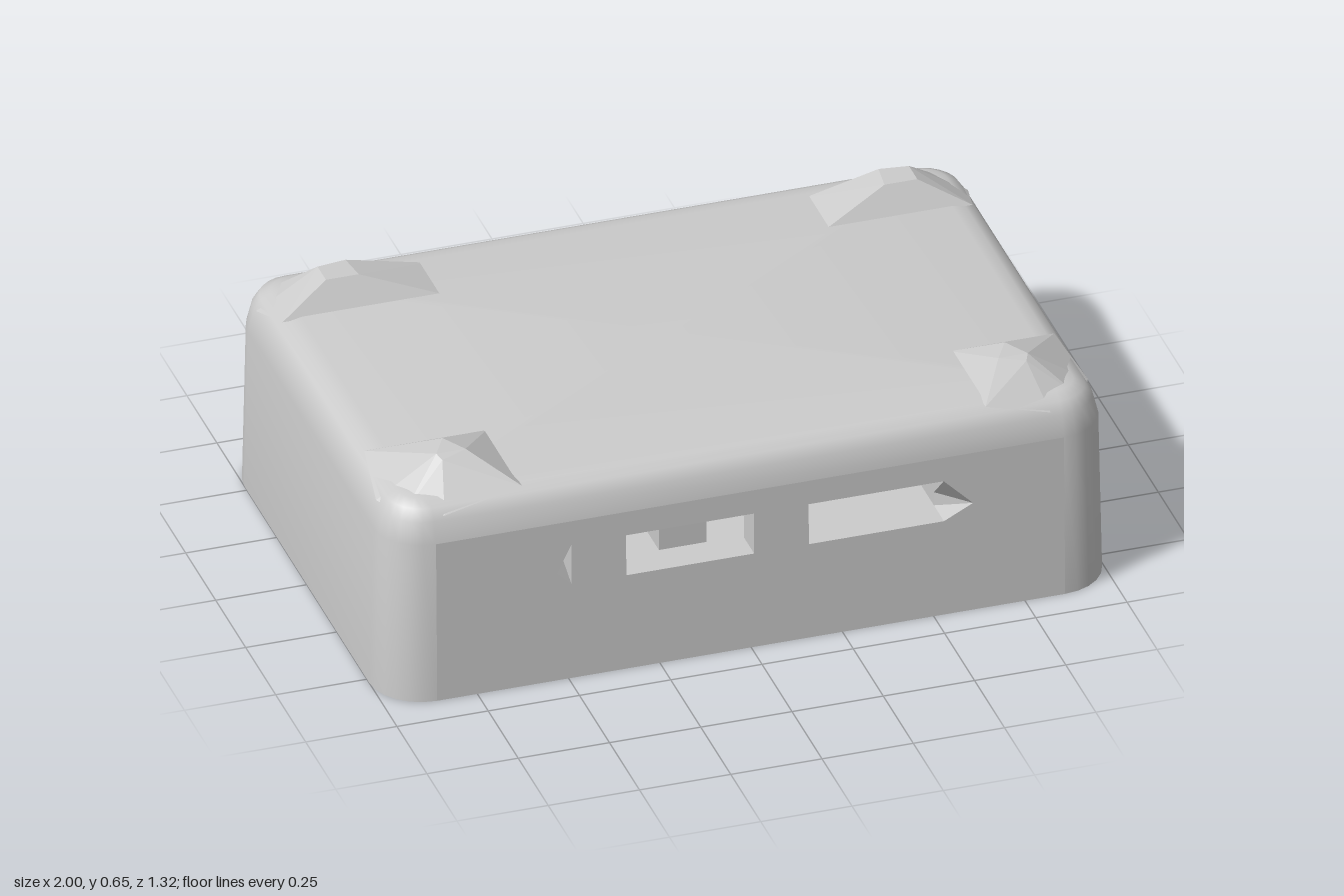
import * as THREE from 'three';
import { toCreasedNormals } from 'three/addons/utils/BufferGeometryUtils.js';
import { ConvexGeometry } from 'three/addons/geometries/ConvexGeometry.js';

const HX = 1, HZ = 0.66, R = 0.14, CORNER = 6;
const WALL_TOP = 0.47, TAPER = 0.01, WALL = 0.09;
const LOW = 0.28, MID = 0.32, HIGH = 0.4;

const smooth = new THREE.MeshStandardMaterial({ color: 0xcccccc });
const flat = new THREE.MeshStandardMaterial({ color: 0xcccccc, flatShading: true });

function add(parent, name, geometry, material) {
  const mesh = new THREE.Mesh(geometry, material);
  mesh.name = name;
  parent.add(mesh);
}

// Rounded rectangle at height y, shrunk by inset; corner centres stay put
function ring(y, inset) {
  const points = [];
  const r = R - inset;
  for (let c = 0; c < 4; c++) {
    const cx = (c === 0 || c === 3 ? 1 : -1) * (HX - R);
    const cz = (c < 2 ? 1 : -1) * (HZ - R);
    for (let i = 0; i <= CORNER; i++) {
      const a = (c + i / CORNER) * Math.PI / 2;
      points.push([cx + r * Math.cos(a), y, cz + r * Math.sin(a)]);
    }
  }
  return points;
}

// Outer skin, left open where the slotted front and back walls fit in
function shellGeometry() {
  const rings = [[0, 0], [WALL_TOP, TAPER], [0.53, 0.025], [0.56, 0.045], [0.575, 0.075], [0.58, 0.11]]
    .map(([y, inset]) => ring(y, inset));
  const n = rings[0].length;
  const position = [];
  for (let k = 0; k < rings.length - 1; k++) {
    for (let i = 0; i < n; i++) {
      const j = (i + 1) % n;
      const wallRun = i === CORNER || i === 3 * CORNER + 2;
      if (k === 0 && wallRun) continue;
      const [a, b, c, d] = [rings[k][i], rings[k][j], rings[k + 1][j], rings[k + 1][i]];
      position.push(...a, ...c, ...b, ...a, ...d, ...c);
    }
  }
  // Lid and floor
  const lid = rings[rings.length - 1];
  for (let i = 0; i < n; i++) {
    const j = (i + 1) % n;
    position.push(0, 0.58, 0, ...lid[j], ...lid[i]);
    position.push(0, 0, 0, ...rings[0][i], ...rings[0][j]);
  }
  const geometry = new THREE.BufferGeometry();
  geometry.setAttribute('position', new THREE.Float32BufferAttribute(position, 3));
  return toCreasedNormals(geometry, 0.6);
}

// Slab from z0 to z1 with holes cut through it
function slab(holes, z0, z1) {
  const w = HX - R;
  const outline = [[-w, 0], [w, 0], [w, WALL_TOP], [-w, WALL_TOP]];
  const toPoints = (list) => list.map(([x, y]) => new THREE.Vector2(x, y));
  const shape = new THREE.Shape(toPoints(outline));
  holes.forEach((hole) => shape.holes.push(new THREE.Path(toPoints(hole))));
  const geometry = new THREE.ExtrudeGeometry(shape, { depth: z1 - z0, bevelEnabled: false });
  return geometry.translate(0, 0, z0);
}

// Lean the outer face inwards and close the pointed slot ends towards the inside
function shapeWall(geometry, leftLimit) {
  const p = geometry.attributes.position;
  for (let i = 0; i < p.count; i++) {
    const x = p.getX(i), z = p.getZ(i);
    if (Math.abs(z) > HZ - 0.001) {
      p.setZ(i, z - Math.sign(z) * TAPER * p.getY(i) / WALL_TOP);
    } else if (Math.abs(x) < 0.7) {
      p.setX(i, THREE.MathUtils.clamp(x, leftLimit, 0.53));
    }
  }
  geometry.computeVertexNormals();
  return geometry;
}

const box = (x0, x1) => [[x0, LOW], [x1, LOW], [x1, HIGH], [x0, HIGH]];

function bump(base, top) {
  return new ConvexGeometry([...base, ...top].map((p) => new THREE.Vector3(...p)));
}

export function createModel() {
  const model = new THREE.Group();
  model.name = 'case';
  add(model, 'shell', shellGeometry(), smooth);

  // Front wall: two openings and a small pointed recess
  const frontHoles = [
    box(-0.34, 0.01),
    [[0.16, LOW], [0.53, LOW], [0.61, MID], [0.53, HIGH], [0.16, HIGH]],
    [[-0.49, LOW], [-0.49, HIGH], [-0.53, MID]],
  ];
  add(model, 'frontWall', shapeWall(slab(frontHoles, HZ - WALL, HZ), -0.49), flat);

  // Back wall: one long slot with pointed ends
  const backHole = [[-0.53, LOW], [0.53, LOW], [0.61, MID], [0.53, HIGH], [-0.53, HIGH], [-0.61, MID]];
  add(model, 'backWall', shapeWall(slab([backHole], -HZ, WALL - HZ), -0.53), flat);

  // Tunnel joining the openings, with a post behind the front wall
  add(model, 'tunnel', slab([box(-0.53, 0.53)], WALL - HZ, HZ - WALL), flat);
  const post = new THREE.BoxGeometry(0.13, HIGH - LOW, 0.12);
  add(model, 'post', post.translate(-0.155, (LOW + HIGH) / 2, 0.5), flat);

  // Raised corners on the lid
  for (const s of [-1, 1]) {
    const side = s < 0 ? 'right' : 'left';
    const frontInner = s < 0 ? 0.61 : 0.66;
    const backInner = s < 0 ? 0.5 : 0.54;
    add(model, side + 'FrontBump', bump(
      [[s * frontInner, 0.575, 0.31], [s * 0.945, 0.575, 0.31], [s * frontInner, 0.575, 0.605],
        [s * 0.975, 0.54, 0.5], [s * 0.93, 0.54, 0.59], [s * 0.83, 0.54, 0.63]],
      [[s * 0.73, 0.65, 0.5], [s * 0.81, 0.65, 0.5], [s * 0.77, 0.65, 0.43], [s * 0.8, 0.64, 0.52]],
    ), flat);
    add(model, side + 'BackBump', bump(
      [[s * backInner, 0.575, -0.37], [s * 0.945, 0.575, -0.37], [s * backInner, 0.575, -0.54],
        [s * 0.975, 0.54, -0.5], [s * 0.93, 0.54, -0.59], [s * 0.83, 0.54, -0.63]],
      [[s * 0.72, 0.65, -0.42], [s * 0.81, 0.65, -0.42], [s * 0.73, 0.65, -0.5], [s * 0.81, 0.65, -0.49]],
    ), flat);
  }
  return model;
}
